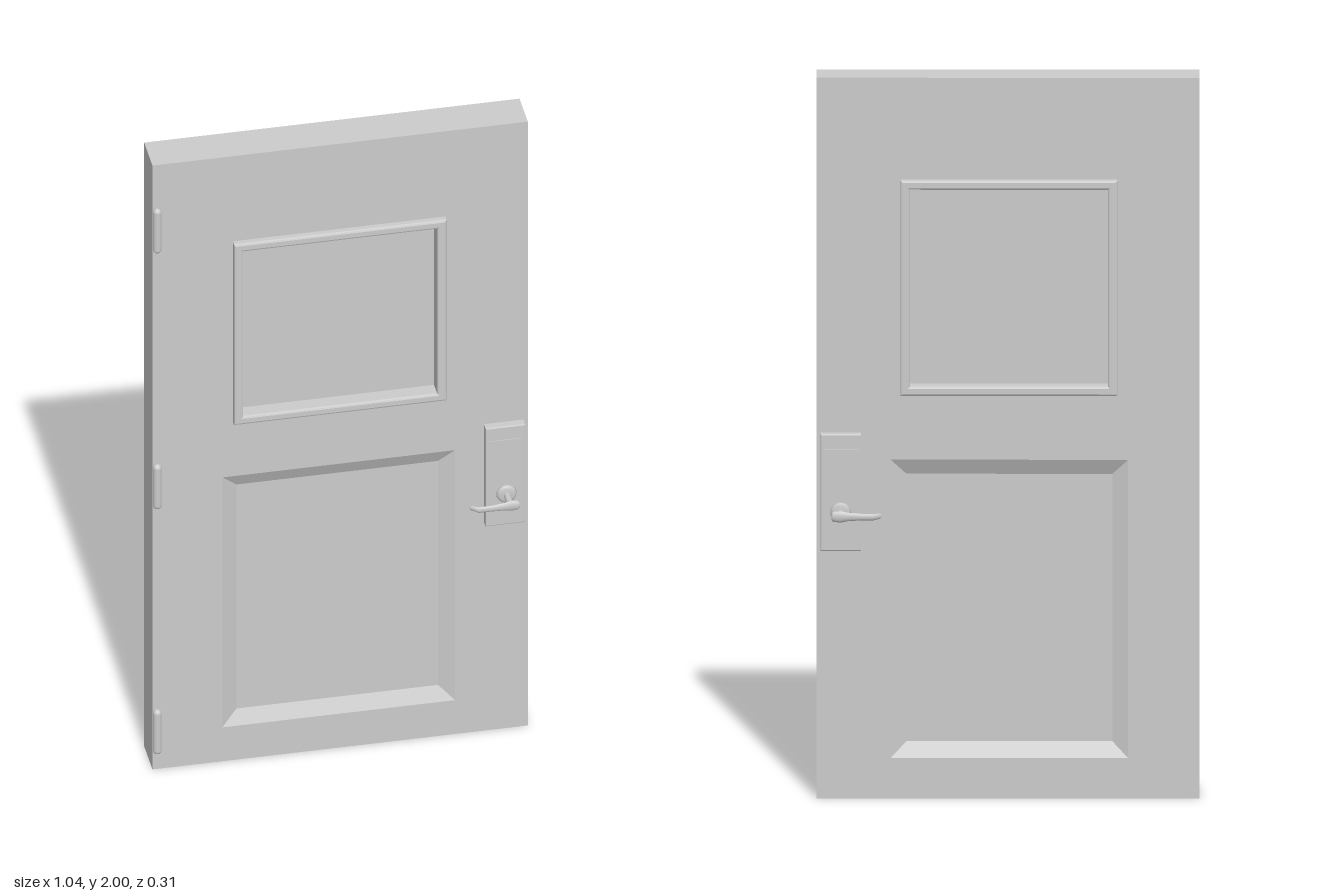
import * as THREE from 'three';

const material = new THREE.MeshStandardMaterial({ color: 0xcccccc });
const flat = new THREE.MeshStandardMaterial({ color: 0xcccccc, flatShading: true });

function add(parent, name, geometry, mat = material) {
  const mesh = new THREE.Mesh(geometry, mat);
  mesh.name = name;
  parent.add(mesh);
  return mesh;
}

// Rectangle outline; used for both shapes and holes
function rect(x0, y0, x1, y1, Type = THREE.Path) {
  const p = new Type();
  p.moveTo(x0, y0).lineTo(x1, y0).lineTo(x1, y1).lineTo(x0, y1).closePath();
  return p;
}

// Rectangular plate with chamfered front and back edges, centred in z
function chamfered(shape, depth, bevel) {
  const g = new THREE.ExtrudeGeometry(shape, {
    depth: depth - 2 * bevel, bevelEnabled: true, bevelSegments: 2,
    bevelSize: bevel, bevelThickness: bevel, bevelOffset: -bevel,
  });
  return g.translate(0, 0, -depth / 2 + bevel);
}

// Sunken panel: sloping border from the outer rectangle down to a flat field
function sunkenPanel(w, h, slope, depth) {
  const ring = (a, b, z) => [[-a, -b, z], [a, -b, z], [a, b, z], [-a, b, z]];
  const outer = ring(w / 2, h / 2, 0);
  const inner = ring(w / 2 - slope, h / 2 - slope, -depth);
  const pos = [];
  const quad = (a, b, c, d) => pos.push(...a, ...b, ...c, ...a, ...c, ...d);
  for (let i = 0; i < 4; i++) {
    const j = (i + 1) % 4;
    quad(outer[i], outer[j], inner[j], inner[i]);
  }
  quad(...inner);
  const g = new THREE.BufferGeometry();
  g.setAttribute('position', new THREE.Float32BufferAttribute(pos, 3));
  g.computeVertexNormals();
  return g;
}

// Lever: rounded sections [x, z, half height, half thickness] joined in a loft
function leverGeometry() {
  const sections = [
    [0.025, 0.148, 0.008, 0.004], [0.020, 0.148, 0.014, 0.007],
    [0.000, 0.148, 0.016, 0.007], [-0.02, 0.149, 0.012, 0.006],
    [-0.06, 0.151, 0.009, 0.005], [-0.09, 0.151, 0.009, 0.005],
    [-0.108, 0.138, 0.007, 0.004], [-0.112, 0.136, 0.003, 0.002],
  ];
  const n = 16, pos = [], index = [];
  for (const [x, z, h, t] of sections) {
    for (let i = 0; i < n; i++) {
      const a = (i / n) * Math.PI * 2;
      pos.push(x, h * Math.cos(a), z + t * Math.sin(a));
    }
  }
  for (let s = 0; s < sections.length - 1; s++) {
    for (let i = 0; i < n; i++) {
      const a = s * n + i, b = s * n + (i + 1) % n;
      index.push(a, a + n, b, b, a + n, b + n);
    }
  }
  // End caps
  const last = (sections.length - 1) * n;
  for (let i = 1; i < n - 1; i++) {
    index.push(0, i, i + 1, last, last + i + 1, last + i);
  }
  const g = new THREE.BufferGeometry();
  g.setAttribute('position', new THREE.Float32BufferAttribute(pos, 3));
  g.setIndex(index);
  g.computeVertexNormals();
  return g;
}

// Turned part along z from [radius, z] points
function turned(points) {
  const g = new THREE.LatheGeometry(points.map(([r, z]) => new THREE.Vector2(r, z)), 24);
  return g.rotateX(Math.PI / 2);
}

export function createModel() {
  const door = new THREE.Group();
  door.name = 'door';
  const half = 0.056;

  // Slab with openings for the window and the lower panel
  const slab = rect(-0.521, 0, 0.521, 2, THREE.Shape);
  slab.holes.push(rect(-0.285, 1.135, 0.279, 1.705), rect(-0.327, 0.112, 0.319, 0.94));
  const slabGeo = new THREE.ExtrudeGeometry(slab, { depth: 2 * half, bevelEnabled: false });
  add(door, 'slab', slabGeo.translate(0, 0, -half));

  // Window frame and pane
  const frame = rect(-0.298, 1.12, 0.292, 1.718, THREE.Shape);
  frame.holes.push(rect(-0.272, 1.146, 0.266, 1.692));
  add(door, 'windowFrame', chamfered(frame, 0.152, 0.006));
  add(door, 'windowPane', new THREE.BoxGeometry(0.55, 0.56, 0.06)).position.set(-0.003, 1.419, 0);

  // Each face: sunken panel and lockset; the back is turned over about x
  for (const side of [1, -1]) {
    const prefix = side > 0 ? 'front' : 'back';
    const panel = add(door, prefix + 'Panel', sunkenPanel(0.646, 0.828, 0.043, 0.02), flat);
    panel.position.set(-0.004, 0.526, side * half);

    const lock = new THREE.Group();
    lock.name = prefix + 'Lockset';
    lock.position.set(0.455, 0.8, 0);
    door.add(lock);
    if (side < 0) panel.rotation.x = lock.rotation.x = Math.PI;

    const plate = rect(-0.056, -0.162, 0.054, 0.162, THREE.Shape);
    add(lock, 'lockPlate', chamfered(plate, 0.03, 0.003)).position.set(0, side * 0.053, 0.065);
    add(lock, 'plateRidge', new THREE.BoxGeometry(0.092, 0.005, 0.004))
      .position.set(-0.001, side * 0.17, 0.08);
    add(lock, 'rose', turned([[0.001, 0.098], [0.02, 0.098], [0.026, 0.094],
      [0.028, 0.088], [0.024, 0.084], [0.024, 0.076]].reverse()));
    add(lock, 'spindle', new THREE.CylinderGeometry(0.009, 0.009, 0.06, 20).rotateX(Math.PI / 2))
      .position.z = 0.118;
    add(lock, 'lever', leverGeometry());
  }

  // Hinge barrels with rounded ends
  for (const y of [0.128, 0.94, 1.787]) {
    add(door, 'hinge', new THREE.CapsuleGeometry(0.012, 0.122, 4, 16)).position.set(-0.509, y, 0.062);
  }
  return door;
}
